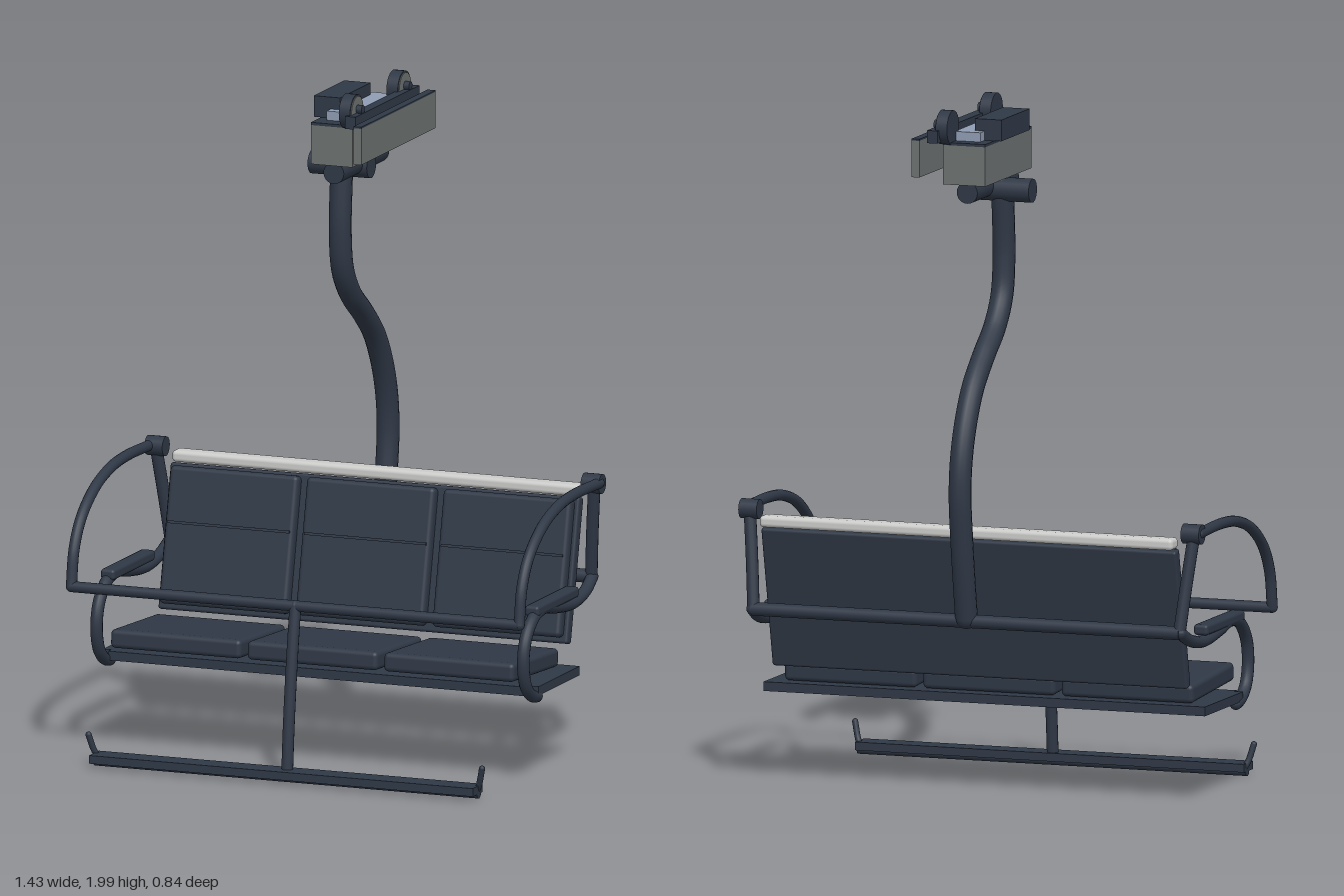
import * as THREE from 'three';
import { RoundedBoxGeometry } from 'three/addons/geometries/RoundedBoxGeometry.js';

const mat = (name, color) => Object.assign(new THREE.MeshStandardMaterial({ color }), { name });

export function createModel() {
  const root = new THREE.Group();
  root.name = 'chairlift';
  const navy = mat('dark navy', 0x2f3846);
  const grey = mat('grip grey', 0x6c7170);
  const pale = mat('pale trim', 0xcbcbca);
  const steel = mat('bluish steel', 0x8f9cb3);

  const add = (name, geo, m, x = 0, y = 0, z = 0, parent = root) => {
    const mesh = new THREE.Mesh(geo, m);
    mesh.name = name;
    mesh.position.set(x, y, z);
    parent.add(mesh);
    return mesh;
  };
  // Box given by its extents on each axis
  const box = (name, m, [x0, x1], [y0, y1], [z0, z1]) =>
    add(name, new THREE.BoxGeometry(x1 - x0, y1 - y0, z1 - z0), m, (x0 + x1) / 2, (y0 + y1) / 2, (z0 + z1) / 2);
  // Straight cylinder along x
  const rodX = (name, m, r, x0, x1, y, z, sides = 20) =>
    add(name, new THREE.CylinderGeometry(r, r, x1 - x0, sides).rotateZ(Math.PI / 2), m, (x0 + x1) / 2, y, z);
  // Smooth tube with closed ends through [x, y, z] points
  const tube = (name, pts, r, steps = 40) => {
    const v = pts.map(p => new THREE.Vector3(...p));
    const g = new THREE.Group();
    g.name = name;
    root.add(g);
    add(name + 'Tube', new THREE.TubeGeometry(new THREE.CatmullRomCurve3(v), steps, r, 14), navy, 0, 0, 0, g);
    for (const p of [v[0], v[v.length - 1]])
      add(name + 'End', new THREE.SphereGeometry(r, 14, 8), navy, p.x, p.y, p.z, g);
  };

  // Hanger arm and rear crossbar
  tube('hangerArm', [[0, 1.76, -0.04], [0, 1.55, -0.028], [0, 1.44, -0.045], [0, 1.36, -0.1], [0, 1.28, -0.2],
    [0, 1.2, -0.285], [0, 1.1, -0.345], [0, 1, -0.378], [0, 0.9, -0.387], [0, 0.75, -0.37], [0, 0.54, -0.335]], 0.033, 70);
  rodX('rearCrossbar', navy, 0.02, -0.66, 0.66, 0.53, -0.335);

  // Backrest: panel, three cushions with a raised seam, pale top trim
  const back = new THREE.Group();
  back.name = 'backrest';
  back.position.set(0, 0.563, -0.243);
  back.rotation.x = -0.225;
  root.add(back);
  add('backPanel', new RoundedBoxGeometry(1.28, 0.425, 0.035, 2, 0.008), navy, 0, 0, -0.015, back);
  // Seat: base plate and three cushions
  box('seatBase', navy, [-0.655, 0.655], [0.268, 0.295], [-0.19, 0.14]);
  for (const i of [-1, 0, 1]) {
    const x = i * 0.427;
    add('backCushion', new RoundedBoxGeometry(0.402, 0.4, 0.04, 3, 0.014), navy, x, 0.004, 0.015, back);
    add('backSeam', new THREE.BoxGeometry(0.38, 0.008, 0.008), navy, x, 0.04, 0.036, back);
    const seat = add('seatCushion', new RoundedBoxGeometry(0.408, 0.055, 0.345, 3, 0.014), navy, x, 0.333, 0.015);
    seat.rotation.x = -0.058;
  }
  add('topTrim', new RoundedBoxGeometry(1.275, 0.034, 0.055, 3, 0.012), pale, 0, 0.787, -0.317);

  // Side frames, armrests and safety bar sides
  for (const s of [-1, 1]) {
    tube('sideUpright', [[s * 0.685, 0.81, -0.29], [s * 0.67, 0.67, -0.312], [s * 0.657, 0.53, -0.335]], 0.018);
    tube('armLoop', [[s * 0.66, 0.53, -0.335], [s * 0.665, 0.5, -0.27], [s * 0.667, 0.484, -0.17], [s * 0.667, 0.497, -0.04],
      [s * 0.667, 0.512, 0.05], [s * 0.667, 0.495, 0.13], [s * 0.667, 0.44, 0.185], [s * 0.667, 0.37, 0.2],
      [s * 0.667, 0.305, 0.18], [s * 0.667, 0.27, 0.135], [s * 0.667, 0.262, 0.1]], 0.018, 64);
    add('armrest', new RoundedBoxGeometry(0.045, 0.032, 0.31, 2, 0.01), navy, s * 0.663, 0.517, -0.025);
    box('seatBracket', navy, [s * 0.665 - 0.016, s * 0.665 + 0.016], [0.268, 0.295], [-0.19, 0.12]);
    rodX('barPivot', navy, 0.029, s * 0.682 - 0.028, s * 0.682 + 0.028, 0.815, -0.29);
    tube('safetyBarSide', [[s * 0.7, 0.817, -0.29], [s * 0.7, 0.82, -0.1], [s * 0.7, 0.808, 0.02], [s * 0.7, 0.77, 0.14],
      [s * 0.7, 0.7, 0.24], [s * 0.7, 0.62, 0.29], [s * 0.7, 0.515, 0.31]], 0.016, 50);
    tube('footrestHook', [[s * 0.592, 0.03, 0.365], [s * 0.603, 0.055, 0.375], [s * 0.615, 0.1, 0.385]], 0.009, 10);
  }

  // Safety bar, drop post and footrest
  rodX('safetyBarFront', navy, 0.016, -0.7, 0.7, 0.515, 0.31);
  tube('footrestPost', [[0, 0.515, 0.31], [0, 0.36, 0.335], [0, 0.18, 0.358], [0, 0.025, 0.372]], 0.017);
  box('footrest', navy, [-0.6, 0.6], [0.022, 0.046], [0.345, 0.418]);
  rodX('footrestTube', navy, 0.015, -0.6, 0.6, 0.023, 0.372);

  // Grip pivot
  rodX('gripPivot', navy, 0.035, -0.095, 0.09, 1.75, -0.045);
  add('gripAxle', new THREE.CylinderGeometry(0.032, 0.032, 0.34, 20).rotateX(Math.PI / 2), navy, 0.045, 1.76, -0.04);

  // Grip body
  box('gripBody', grey, [-0.02, 0.11], [1.785, 1.9], [-0.235, 0.145]);
  box('gripLid', navy, [-0.02, 0.11], [1.9, 1.908], [-0.235, 0.145]);
  box('gripJaw', steel, [0.01, 0.09], [1.908, 1.935], [-0.195, 0.1]);
  box('springHousing', navy, [-0.042, 0.04], [1.908, 1.97], [-0.16, 0.07]);

  // Guide plate with dark top edge, wheel rail and wheels
  box('guidePlate', grey, [0.15, 0.175], [1.815, 1.922], [-0.322, 0.235]);
  box('guidePlateEdge', navy, [0.15, 0.175], [1.922, 1.927], [-0.322, 0.235]);
  box('wheelRail', navy, [0.11, 0.143], [1.91, 1.947], [-0.28, 0.2]);
  for (const z of [-0.22, 0.138]) {
    rodX('wheel', navy, 0.05, 0.085, 0.12, 1.95, z, 28);
    rodX('wheelFace', grey, 0.045, 0.12, 0.123, 1.95, z, 28);
    rodX('wheelHub', navy, 0.013, 0.12, 0.14, 1.957, z, 14);
  }
  return root;
}
